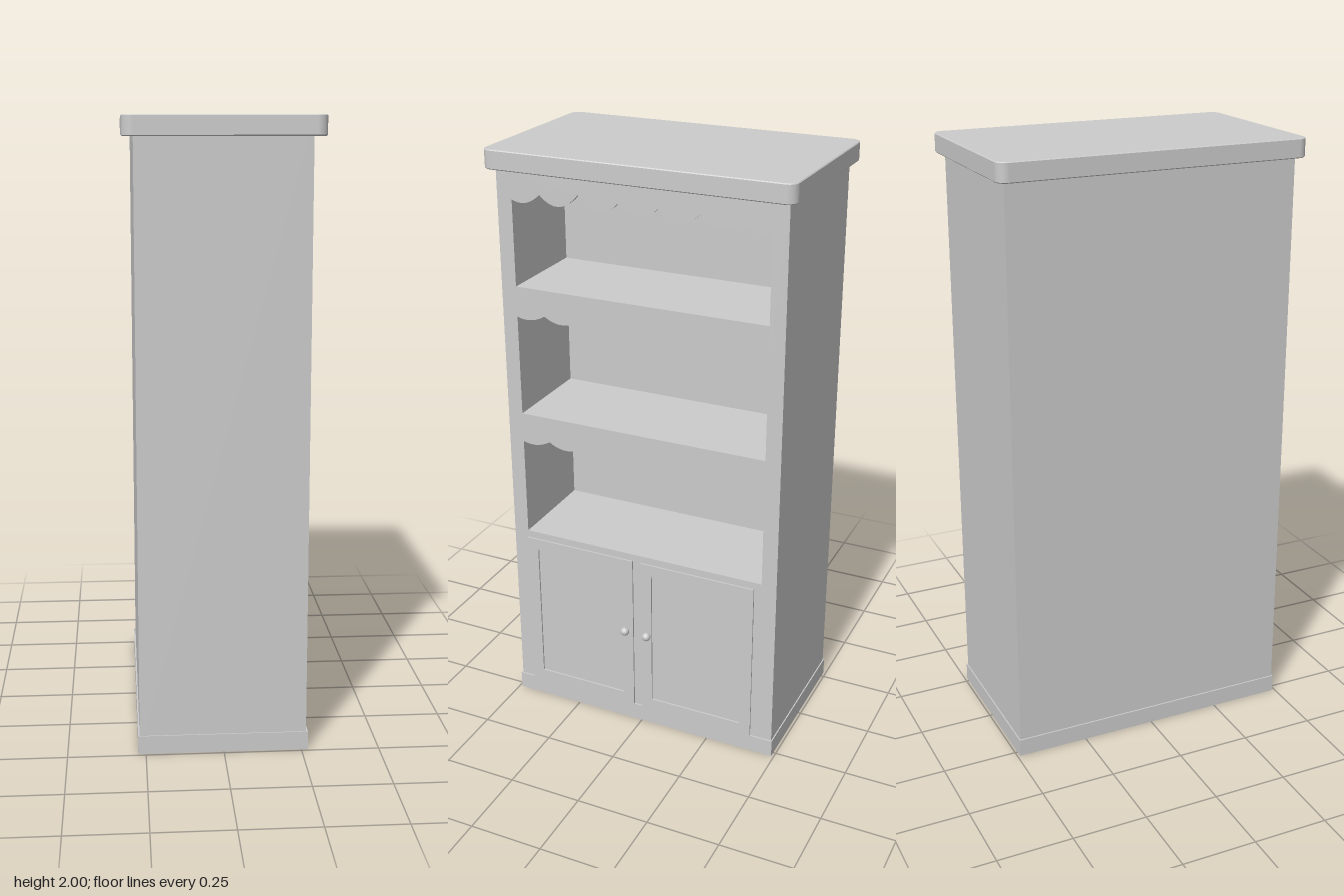
import * as THREE from 'three';

const material = new THREE.MeshStandardMaterial({ color: 0xcccccc });

export function createModel() {
  const group = new THREE.Group();
  const add = (name, geometry) => {
    const mesh = new THREE.Mesh(geometry, material);
    mesh.name = name;
    group.add(mesh);
    return mesh;
  };
  // Box given by its limits on each axis
  const box = (name, x0, x1, y0, y1, z0, z1) => {
    const mesh = add(name, new THREE.BoxGeometry(x1 - x0, y1 - y0, z1 - z0));
    mesh.position.set((x0 + x1) / 2, (y0 + y1) / 2, (z0 + z1) / 2);
  };
  const trace = (path, points) => {
    points.forEach(([x, y], i) => (i ? path.lineTo(x, y) : path.moveTo(x, y)));
    path.closePath();
    return path;
  };
  const rect = (path, x0, x1, y0, y1) => trace(path, [[x0, y0], [x1, y0], [x1, y1], [x0, y1]]);
  // Shape drawn as seen from +x (drawn x is -z), extruded from x0 to x1
  const facing = (name, shape, x0, x1) => {
    const g = new THREE.ExtrudeGeometry(shape, { depth: x1 - x0, bevelEnabled: false, curveSegments: 8 });
    g.rotateY(Math.PI / 2).translate(x0, 0, 0);
    add(name, g);
  };

  // Outer carcass: sides and back
  for (const s of [-1, 1]) {
    box('sidePanel', -0.27, 0.25, 0, 1.94, s * 0.476 - 0.011, s * 0.476 + 0.011);
    box('sideLining', -0.07, 0.25, 0.645, 1.94, s * 0.45 - 0.015, s * 0.45 + 0.015);
  }
  box('backPanel', -0.27, -0.25, 0, 1.94, -0.465, 0.465);
  box('shelfBack', -0.09, -0.07, 0.645, 1.94, -0.465, 0.465);

  // Face frame with three openings, each with a scalloped upper edge
  const openings = [
    { floor: 0.665, top: 1.003, rise: 0.65 },
    { floor: 1.11, top: 1.448, rise: 0.65 },
    { floor: 1.555, top: 1.835, rise: 1 },
  ];
  const cusps = [[-0.335, 0.03], [-0.2, 0.045], [-0.065, 0.033], [0.07, 0.033], [0.205, 0.03], [0.335, 0.02], [0.435, 0.005]];
  const frame = rect(new THREE.Shape(), -0.487, 0.487, 0, 1.94);
  for (const { floor, top, rise } of openings) {
    const hole = new THREE.Path();
    hole.moveTo(0.435, floor);
    hole.lineTo(-0.435, floor);
    let px = -0.435, py = top + 0.005;
    hole.lineTo(px, py);
    for (const [x, h] of cusps) {
      const y = top + h * rise;
      hole.quadraticCurveTo((px + x) / 2, 2 * top - (py + y) / 2, x, y);
      [px, py] = [x, y];
    }
    hole.closePath();
    frame.holes.push(hole);
    box('shelf', floor < 0.7 ? -0.25 : -0.07, 0.25, floor - 0.02, floor, -0.465, 0.465);
  }
  facing('faceFrame', frame, 0.25, 0.265);

  // Doors: raised border around a flat panel, with a round knob
  const doors = [
    { left: -0.435, right: -0.03, knob: 0.055 },
    { left: 0, right: 0.41, knob: -0.027 },
  ];
  for (const { left, right, knob } of doors) {
    const border = rect(new THREE.Shape(), left, right, 0.06, 0.64);
    border.holes.push(rect(new THREE.Path(), left + 0.04, right - 0.04, 0.1, 0.6));
    facing('doorFrame', border, 0.264, 0.271);
    add('knob', new THREE.SphereGeometry(0.015, 16, 12)).position.set(0.286, 0.365, knob);
    const stem = add('knobStem', new THREE.CylinderGeometry(0.007, 0.007, 0.02, 12));
    stem.rotation.z = Math.PI / 2;
    stem.position.set(0.275, 0.365, knob);
  }

  // Plinth ring, open underneath
  const ring = rect(new THREE.Shape(), -0.275, 0.271, -0.491, 0.491);
  ring.holes.push(rect(new THREE.Path(), -0.25, 0.25, -0.465, 0.465));
  const plinth = new THREE.ExtrudeGeometry(ring, { depth: 0.06, bevelEnabled: false });
  add('plinth', plinth.rotateX(-Math.PI / 2));

  // Overhanging top with rounded corners
  const w = 0.302, d = 0.512, r = 0.03;
  const slab = new THREE.Shape();
  slab.absarc(w - r, d - r, r, 0, Math.PI / 2);
  slab.absarc(r - w, d - r, r, Math.PI / 2, Math.PI);
  slab.absarc(r - w, r - d, r, Math.PI, Math.PI * 1.5);
  slab.absarc(w - r, r - d, r, Math.PI * 1.5, Math.PI * 2);
  const top = new THREE.ExtrudeGeometry(slab, {
    depth: 0.056, bevelThickness: 0.003, bevelSize: 0.003, bevelSegments: 1, curveSegments: 8,
  });
  add('topSlab', top.rotateX(-Math.PI / 2).translate(0, 1.941, 0));

  return group;
}
